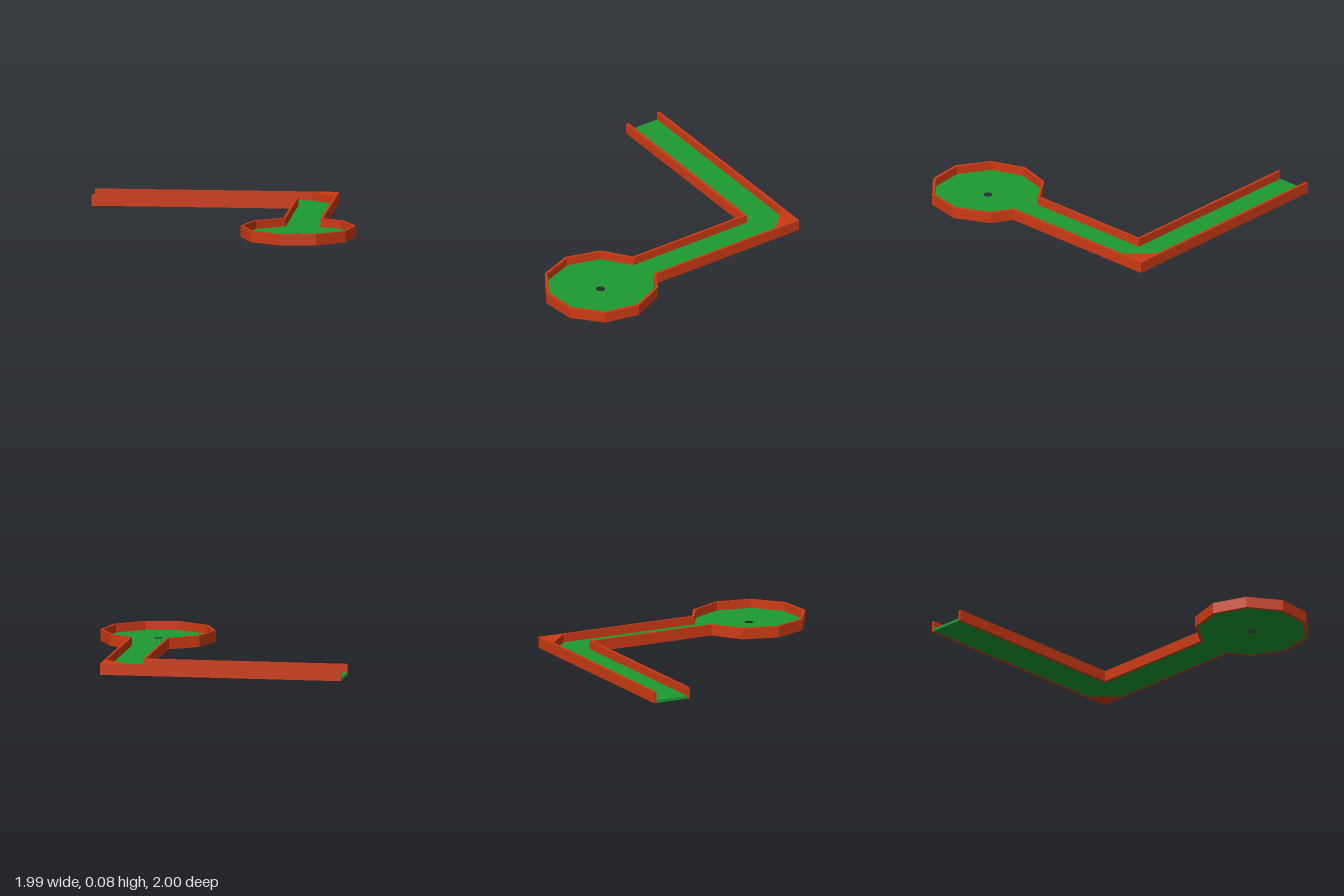
import * as THREE from 'three';

const WALL_HEIGHT = 0.08;
const FLOOR_HEIGHT = 0.02;

// Outer and inner edges of the kerb in plan, as [x, z], from the open end and back to it
const outer = [
  [-0.995, -1], [0.725, -1], [0.725, 0.225], [0.875, 0.31], [0.99, 0.553],
  [0.938, 0.805], [0.745, 0.977], [0.49, 1], [0.27, 0.86], [0.178, 0.62],
  [0.25, 0.37], [0.445, 0.228], [0.445, -0.715], [-0.995, -0.715],
];
const inner = [
  [-0.995, -0.98], [0.535, -0.98], [0.708, -0.81], [0.708, 0.235], [0.862, 0.326],
  [0.969, 0.553], [0.919, 0.796], [0.736, 0.957], [0.496, 0.977], [0.285, 0.847],
  [0.199, 0.619], [0.265, 0.381], [0.462, 0.236], [0.462, -0.735], [-0.995, -0.735],
];

// Extrudes a plan outline straight up from the ground
function slab(name, shape, height, color) {
  const geometry = new THREE.ExtrudeGeometry(shape, { depth: height, bevelEnabled: false, curveSegments: 12 });
  geometry.rotateX(-Math.PI / 2);
  const mesh = new THREE.Mesh(geometry, new THREE.MeshStandardMaterial({ color }));
  mesh.name = name;
  return mesh;
}

const outline = (points) => new THREE.Shape(points.map(([x, z]) => new THREE.Vector2(x, -z)));

export function createModel() {
  const group = new THREE.Group();
  group.name = 'miniGolfLane';

  // Green playing surface with the cup cut through it
  const floor = outline(inner);
  floor.holes.push(new THREE.Path().absarc(0.583, -0.6, 0.032, 0, Math.PI * 2, true));
  group.add(slab('playingSurface', floor, FLOOR_HEIGHT, 0x1d9a32));

  // One continuous kerb, open at the tee end and filled in at the bank-shot corner
  const kerb = outline([...outer, ...[...inner].reverse()]);
  group.add(slab('kerb', kerb, WALL_HEIGHT, 0xcc3a14));

  return group;
}
